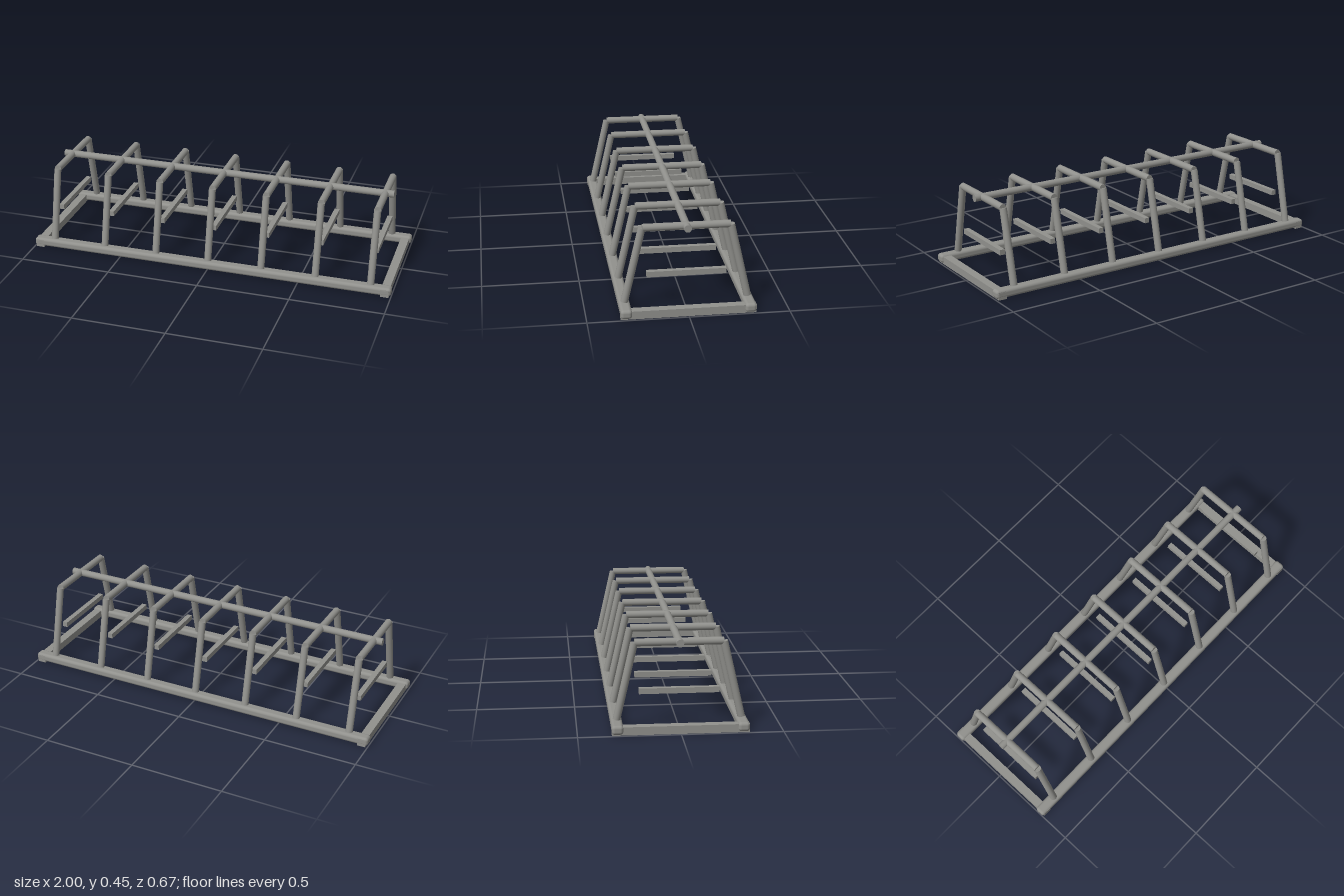
import * as THREE from 'three';
import { RoundedBoxGeometry } from 'three/addons/geometries/RoundedBoxGeometry.js';

export function createModel() {
  const steel = new THREE.MeshStandardMaterial({ color: 0x91918d });
  steel.name = 'grey steel';
  const tubeRadius = 0.019;
  const rack = new THREE.Group();
  rack.name = 'bikeRack';

  function add(parent, name, geometry, x = 0, y = 0, z = 0) {
    const mesh = new THREE.Mesh(geometry, steel);
    mesh.name = name;
    mesh.position.set(x, y, z);
    parent.add(mesh);
    return mesh;
  }

  // Straight round tube between two points
  function addTube(parent, name, from, to) {
    const a = new THREE.Vector3(...from);
    const b = new THREE.Vector3(...to);
    const dir = b.clone().sub(a);
    const geometry = new THREE.CylinderGeometry(tubeRadius, tubeRadius, dir.length(), 24);
    const tube = add(parent, name, geometry);
    tube.position.copy(a).add(b).multiplyScalar(0.5);
    tube.quaternion.setFromUnitVectors(new THREE.Vector3(0, 1, 0), dir.normalize());
  }

  // Base frame: long rounded rails and plain end bars
  for (const s of [1, -1]) {
    add(rack, s > 0 ? 'frontRail' : 'backRail',
      new RoundedBoxGeometry(2, 0.046, 0.057, 4, 0.016), 0, 0.027, s * 0.307);
    add(rack, s > 0 ? 'leftEndBar' : 'rightEndBar',
      new THREE.BoxGeometry(0.045, 0.041, 0.67), s * 0.967, 0.0205, 0);
  }

  // Ridge tube along the top
  addTube(rack, 'ridgeTube', [-0.935, 0.435, 0], [0.935, 0.435, 0]);

  // Seven hoops, each with splayed legs, a top tube and a wheel bar
  for (let i = -3; i <= 3; i++) {
    const hoop = new THREE.Group();
    hoop.name = 'hoop';
    hoop.position.x = i * 0.296;
    rack.add(hoop);
    addTube(hoop, 'frontLeg', [0, 0.051, 0.3065], [0, 0.434, 0.2185]);
    addTube(hoop, 'backLeg', [0, 0.051, -0.3065], [0, 0.434, -0.2185]);
    addTube(hoop, 'topTube', [0, 0.435, -0.217], [0, 0.435, 0.217]);
    add(hoop, 'wheelBar', new THREE.BoxGeometry(0.028, 0.028, 0.394), 0, 0.193, 0);
  }
  return rack;
}
